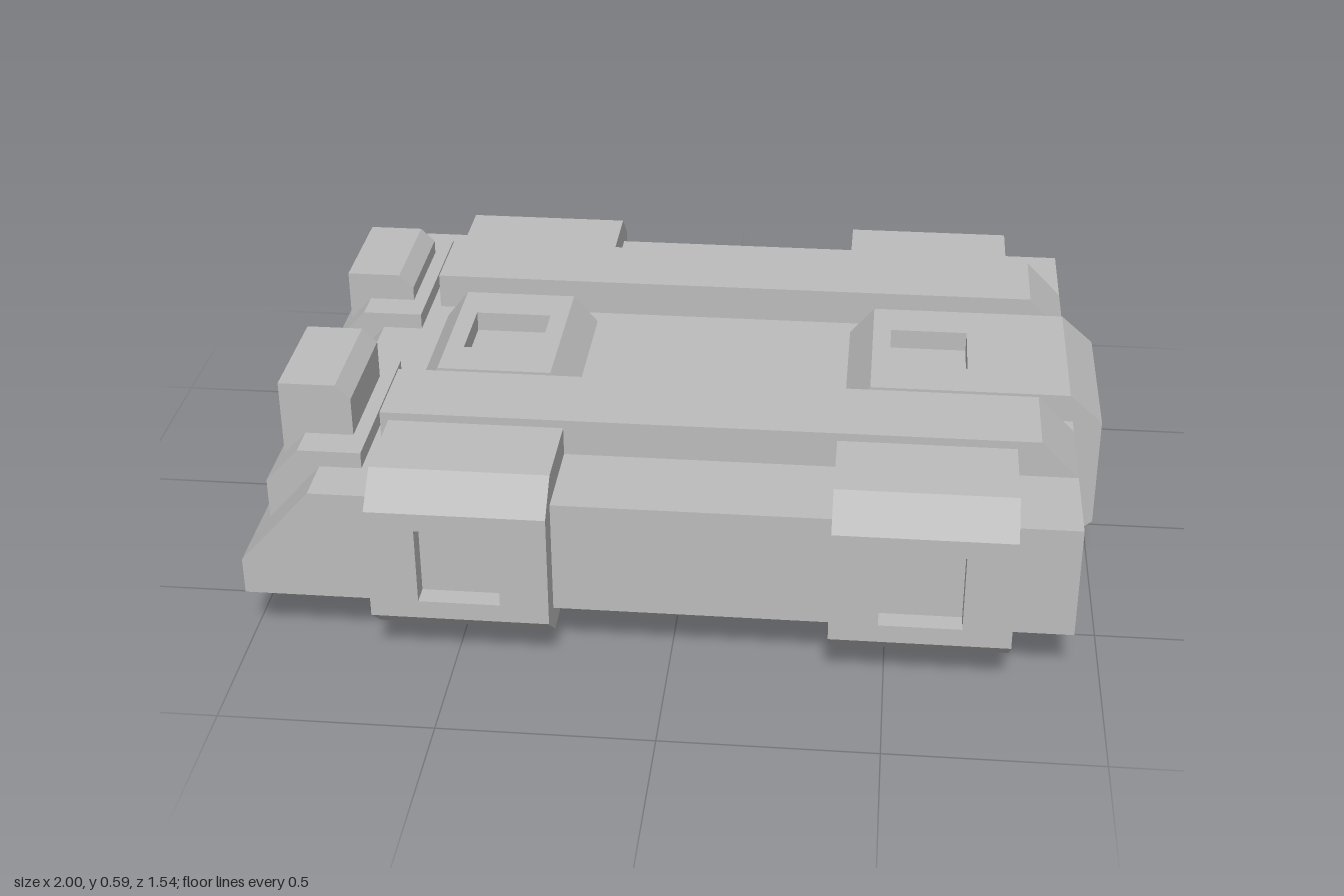
import * as THREE from 'three';

const D = 0.05; // depth of the square recesses
const HOLE = 0.19;

export function createModel() {
  const model = new THREE.Group();
  model.name = 'armouredPlatform';
  const grey = new THREE.MeshStandardMaterial({ color: 0xbcbcbc });
  grey.name = 'hull grey';

  const add = (name, geometry) => {
    const mesh = new THREE.Mesh(geometry, grey);
    mesh.name = name;
    model.add(mesh);
    return mesh;
  };
  const extrude = (shape, depth) => new THREE.ExtrudeGeometry(shape, { depth, bevelEnabled: false });
  const outline = pts => new THREE.Shape(pts.map(p => new THREE.Vector2(p[0], p[1])));

  // Side profile (x, y) swept from z0 to z1
  const prismZ = (name, pts, z0, z1) => add(name, extrude(outline(pts), z1 - z0).translate(0, 0, z0));

  // Symmetric end profile, given as its (z, y) half, swept from x0 to x1
  const prismX = (name, half, x0, x1) => {
    const mirrored = half.map(([z, y]) => [-z, y]).reverse();
    const geometry = extrude(outline([...half, ...mirrored]), x1 - x0);
    return add(name, geometry.rotateY(Math.PI / 2).translate(x0, 0, 0));
  };

  // Plate with a rectangular opening, laid over a block to form a recess
  const frame = (name, w, h, holeW, holeH, depth, position, rotX, rotY) => {
    const rect = (a, b) => [[-a / 2, -b / 2], [a / 2, -b / 2], [a / 2, b / 2], [-a / 2, b / 2]];
    const shape = outline(rect(w, h));
    shape.holes.push(outline(rect(holeW, holeH).reverse()));
    const mesh = add(name, extrude(shape, depth));
    mesh.position.set(...position);
    mesh.rotation.set(rotX, rotY, 0);
  };

  // Main hull with a sloped end
  prismZ('hull', [[-1, 0.14], [0.93, 0.14], [0.93, 0.42], [-0.83, 0.42], [-1, 0.23]], -0.705, 0.705);

  // Long rails on the deck
  for (const s of [-1, 1]) {
    prismZ('deckRail', [[-0.705, 0.4], [0.93, 0.4], [0.93, 0.42], [0.84, 0.51], [-0.705, 0.51]],
      s * 0.367 - 0.108, s * 0.367 + 0.108);
  }

  // Two belts wrapping the underside and both flanks
  for (const [x0, x1] of [[-0.685, -0.27], [0.37, 0.785]]) {
    const cx = (x0 + x1) / 2, w = x1 - x0;
    prismX('belt', [[0.69, 0.07], [0.772, 0.14], [0.772 - D, 0.14], [0.772 - D, 0.42],
      [0.772, 0.42], [0.69, 0.49], [0.46, 0.49], [0.46, 0.4]], x0, x1);
    for (const s of [-1, 1]) {
      frame('flankSocket', w, 0.28, HOLE, HOLE, D, [cx, 0.28, s * (0.772 - D)], 0, s > 0 ? 0 : Math.PI);
    }
    // Foot under the belt
    prismX('foot', [[0.14, D], [0.14, 0], [0.21, 0.07]], x0, x1);
    frame('footSocket', w, 0.28, HOLE, HOLE, D, [cx, D, 0], Math.PI / 2, 0);
  }

  // Raised deck pad
  const top = 0.49;
  prismZ('deckPad', [[-0.675, 0.4], [-0.28, 0.4], [-0.28, 0.42], [-0.34, top], [-0.34, top - D],
    [-0.62, top - D], [-0.62, top], [-0.675, 0.42]], -0.21, 0.21);
  frame('deckPadSocket', 0.28, 0.42, HOLE, HOLE, D, [-0.48, top - D, 0], -Math.PI / 2, 0);

  // Clamp wrapping from the deck over the flat end
  prismZ('endClamp', [[0.38, 0.4], [0.38, 0.42], [0.44, top], [0.44, top - D], [0.72, top - D],
    [0.72, top], [0.92, top], [1, 0.42], [1 - D, 0.42], [1 - D, 0.14], [1, 0.14],
    [0.92, 0.07], [0.77, 0.07], [0.77, 0.4]], -0.21, 0.21);
  frame('endClampDeckSocket', 0.28, 0.42, HOLE, HOLE, D, [0.58, top - D, 0], -Math.PI / 2, 0);
  frame('endClampSocket', 0.42, 0.28, HOLE, HOLE, D, [1 - D, 0.28, 0], 0, Math.PI / 2);

  // Two turrets of different height on the sloped end
  for (const [s, height] of [[1, 0.59], [-1, 0.53]]) {
    const c = s * 0.355;
    prismZ('turretBase', [[-0.96, 0.26], [-0.73, 0.4], [-0.73, 0.46], [-0.88, 0.46], [-0.96, 0.375]],
      c - 0.228, c + 0.228);
    prismZ('turret', [[-0.895, 0.4], [-0.765, 0.4], [-0.765, height - 0.035], [-0.8, height],
      [-0.895, height]], c - 0.145, c + 0.145);
    const h = height - 0.39;
    frame('turretPort', 0.29, h, 0.22, h - 0.07, 0.04, [-0.895, 0.39 + h / 2, c], 0, -Math.PI / 2);
  }

  return model;
}
